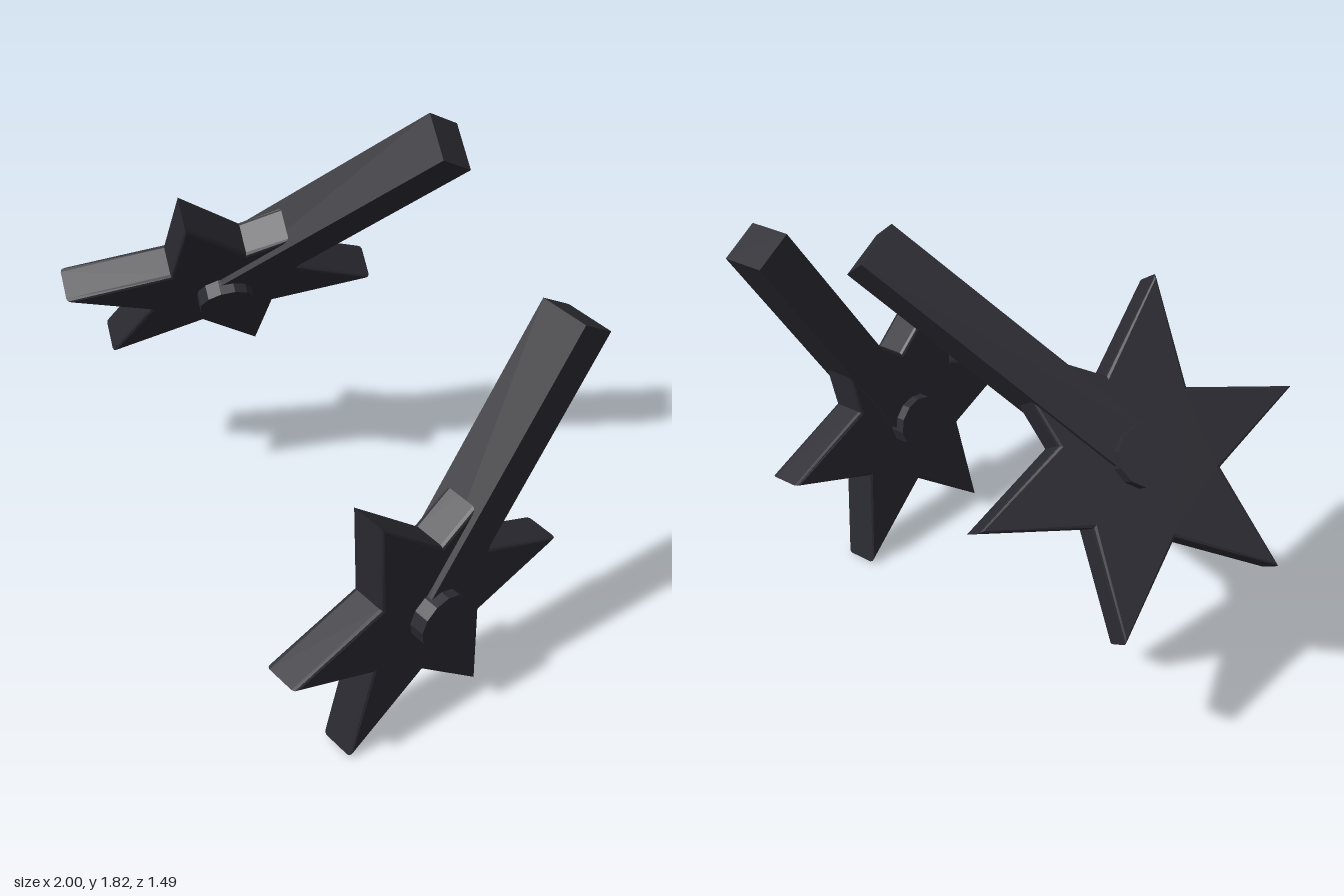
import * as THREE from 'three';

const darkSteel = new THREE.MeshStandardMaterial({ color: 0x2b2b32 });
darkSteel.name = 'dark steel';

// Six-pointed star with a small bevel, centred on its own thickness
function starGeometry() {
  const pts = [];
  for (let i = 0; i < 12; i++) {
    const a = (i * Math.PI) / 6;
    const r = i % 2 ? 0.267 : 0.58;
    pts.push(new THREE.Vector2(r * Math.cos(a), r * Math.sin(a)));
  }
  const geo = new THREE.ExtrudeGeometry(new THREE.Shape(pts), {
    depth: 0.106, bevelEnabled: true, bevelSize: 0.012, bevelThickness: 0.015, bevelSegments: 2,
  });
  return geo.translate(0, 0, -0.053);
}

function part(name, geo) {
  const mesh = new THREE.Mesh(geo, darkSteel);
  mesh.name = name;
  return mesh;
}

// One piece: star, arm along one star point, and round hub through the middle
function starOnArm(name, centre, armDirection, faceNormal) {
  const group = new THREE.Group();
  group.name = name;

  const star = part('star', starGeometry());
  const arm = part('arm', new THREE.BoxGeometry(1.077, 0.162, 0.18).translate(0.5385, 0, 0));
  const hub = part('hub', new THREE.CylinderGeometry(0.102, 0.102, 0.25, 12).toNonIndexed().rotateX(Math.PI / 2));
  hub.geometry.computeVertexNormals();
  group.add(star, arm, hub);

  // Local x runs along the arm, local z out of the star's face
  const x = new THREE.Vector3(...armDirection).normalize();
  const y = new THREE.Vector3(...faceNormal).cross(x).normalize();
  const z = new THREE.Vector3().crossVectors(x, y);
  group.quaternion.setFromRotationMatrix(new THREE.Matrix4().makeBasis(x, y, z));
  group.position.set(...centre);
  return group;
}

export function createModel() {
  const model = new THREE.Group();
  model.name = 'pair of stars on arms';
  model.add(
    starOnArm('leftStar', [0.795, 0.53, 0.15], [0.11, 0.92, -0.55], [1, -0.088, 0.045]),
    starOnArm('rightStar', [-0.548, 1.063, -0.173], [0.744, 0.673, -0.393], [0.726, -0.587, 0.363]),
  );
  return model;
}
